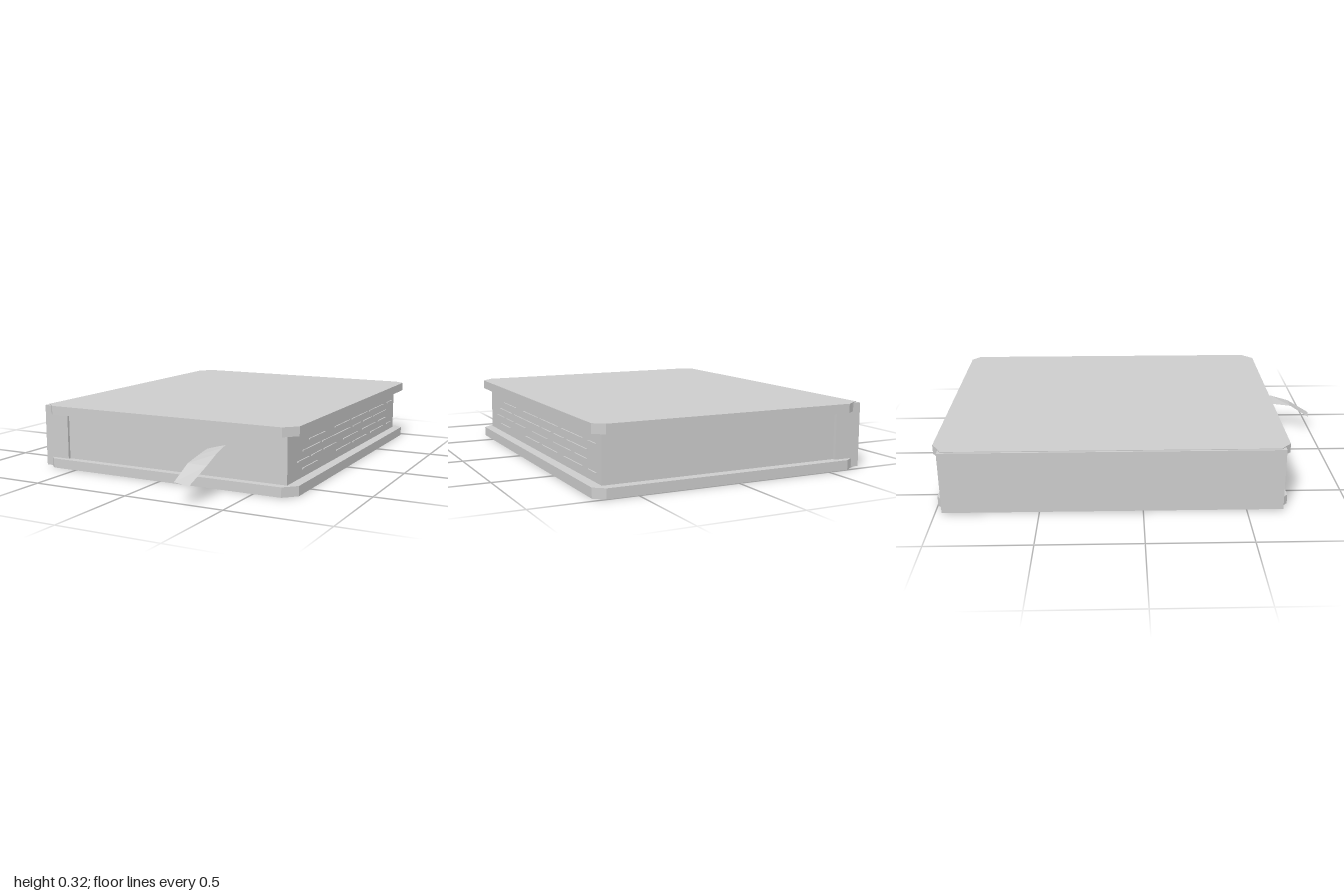
import * as THREE from 'three';

export function createModel() {
  const book = new THREE.Group();
  book.name = 'book';
  const grey = new THREE.MeshStandardMaterial({ color: 0xcccccc });
  grey.name = 'light grey';
  const ribbonGrey = new THREE.MeshStandardMaterial({ color: 0xcccccc, side: THREE.DoubleSide, flatShading: true });
  ribbonGrey.name = 'ribbon grey';

  function add(name, geometry, material = grey) {
    const mesh = new THREE.Mesh(geometry, material);
    mesh.name = name;
    book.add(mesh);
    return mesh;
  }

  // Box given by its minimum and maximum corners
  function box(name, [x0, y0, z0], [x1, y1, z1]) {
    add(name, new THREE.BoxGeometry(x1 - x0, y1 - y0, z1 - z0))
      .position.set((x0 + x1) / 2, (y0 + y1) / 2, (z0 + z1) / 2);
  }

  // Cover boards with clipped corners, outlined as [x, z]
  const outline = [
    [-0.635, 0.705], [0.64, 0.705], [0.7, 0.645], [0.7, -0.96], [0.65, -1],
    [-0.61, -1], [-0.65, -0.972], [-0.69, -0.95], [-0.69, 0.655], [-0.655, 0.685],
  ];
  const board = new THREE.Shape(outline.map(([x, z]) => new THREE.Vector2(x, -z)));
  for (const [name, y, depth] of [['bottomCover', 0, 0.048], ['topCover', 0.276, 0.045]]) {
    const geometry = new THREE.ExtrudeGeometry(board, { depth, bevelEnabled: false });
    geometry.rotateX(-Math.PI / 2);
    geometry.translate(0, y, 0);
    add(name, geometry);
  }

  // Spine and page block
  box('spine', [-0.7, 0.004, -0.967], [-0.562, 0.317, 0.677]);
  box('pages', [-0.6, 0.04, -0.95], [0.65, 0.285, 0.663]);

  // Thin broken page lines along the fore edge: height, then [z start, z end] pairs
  const rows = [
    [0.257, [[0.49, 0.2], [0.17, -0.13], [-0.15, -0.46], [-0.48, -0.65], [-0.67, -0.81]]],
    [0.217, [[0.41, 0.2], [0.07, -0.16], [-0.19, -0.44], [-0.48, -0.74], [-0.81, -0.9]]],
    [0.175, [[0.49, 0.27], [0.24, -0.17], [-0.21, -0.34], [-0.38, -0.52], [-0.56, -0.8]]],
    [0.132, [[0.55, 0.41], [0.38, 0.25], [0.22, 0.04], [-0.06, -0.29], [-0.37, -0.6], [-0.65, -0.79]]],
    [0.09, [[0.49, 0.3], [0.04, -0.17], [-0.21, -0.43], [-0.51, -0.74], [-0.81, -0.9]]],
  ];
  for (const [y, spans] of rows) {
    for (const [front, back] of spans) {
      box('pageLine', [0.648, y - 0.003, back], [0.656, y + 0.003, front]);
    }
  }

  // Bookmark ribbon: pairs of left and right edge points
  const sections = [
    [0.24, 0.18, 0.64, 0.335, 0.207, 0.64],
    [0.245, 0.176, 0.7, 0.342, 0.2, 0.7],
    [0.255, 0.17, 0.78, 0.35, 0.185, 0.78],
    [0.26, 0.155, 0.88, 0.357, 0.153, 0.88],
    [0.25, 0.09, 0.985, 0.335, 0.085, 1],
  ];
  const index = [];
  for (let i = 0; i < sections.length - 1; i++) {
    const a = i * 2;
    index.push(a, a + 2, a + 1, a + 1, a + 2, a + 3);
  }
  const ribbon = new THREE.BufferGeometry();
  ribbon.setAttribute('position', new THREE.Float32BufferAttribute(sections.flat(), 3));
  ribbon.setIndex(index);
  ribbon.computeVertexNormals();
  add('bookmarkRibbon', ribbon, ribbonGrey);

  return book;
}
